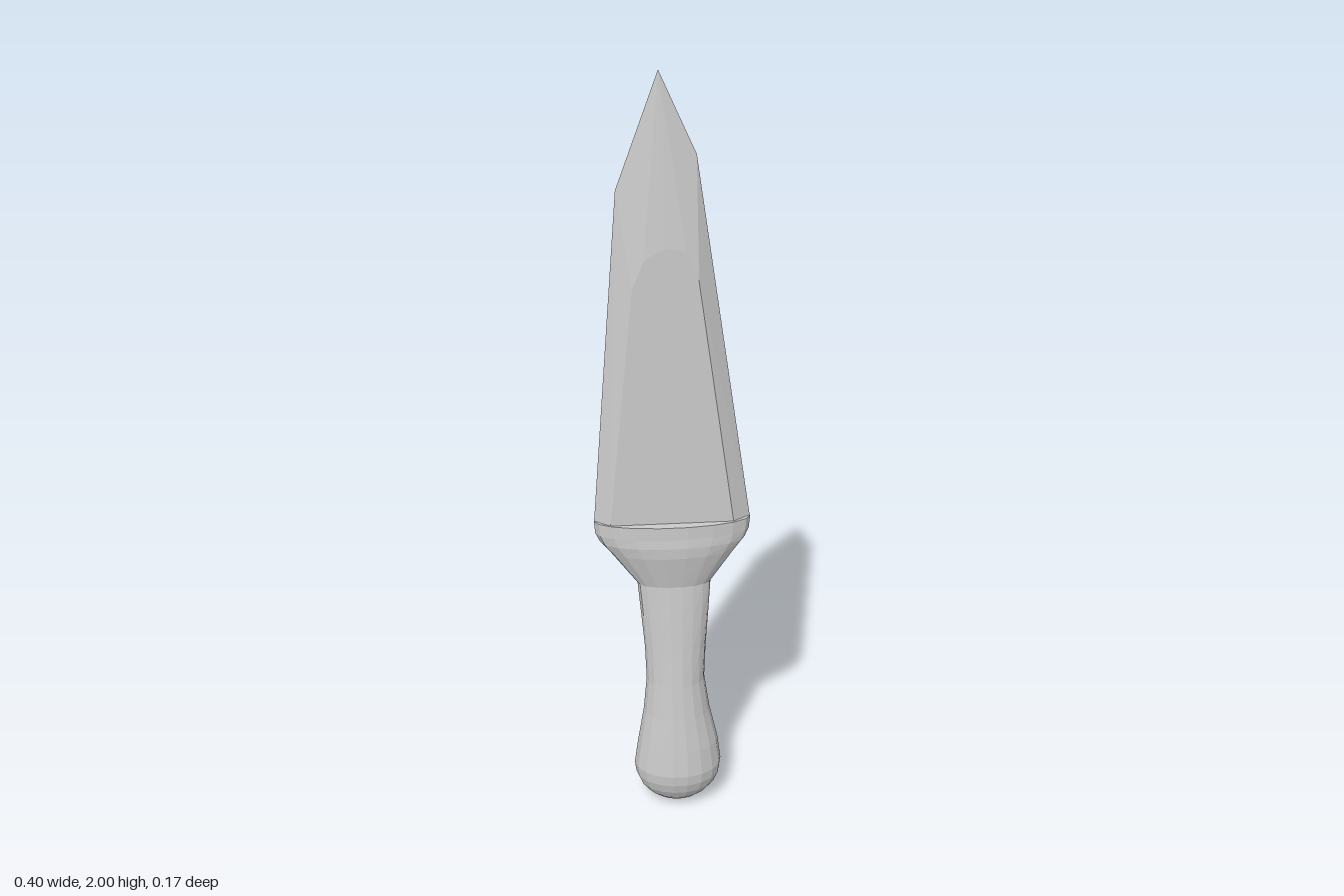
import * as THREE from 'three';
import { ConvexGeometry } from 'three/addons/geometries/ConvexGeometry.js';

const SIDES = 18;

// Skins elliptical rings [y, left x, right x, half depth], ordered bottom to top, with capped ends
function loft(rings) {
  const pos = [], index = [];
  for (const [y, x0, x1, d] of rings) {
    for (let i = 0; i < SIDES; i++) {
      const a = (i / SIDES) * Math.PI * 2;
      pos.push((x0 + x1) / 2 + ((x1 - x0) / 2) * Math.cos(a), y, d * Math.sin(a));
    }
  }
  for (let r = 0; r < rings.length - 1; r++) {
    for (let i = 0; i < SIDES; i++) {
      const j = (i + 1) % SIDES;
      const a = r * SIDES + i, b = r * SIDES + j;
      index.push(a, a + SIDES, b, b, a + SIDES, b + SIDES);
    }
  }
  const top = (rings.length - 1) * SIDES;
  for (let i = 1; i < SIDES - 1; i++) {
    index.push(0, i, i + 1);
    index.push(top, top + i + 1, top + i);
  }
  const geo = new THREE.BufferGeometry();
  geo.setAttribute('position', new THREE.Float32BufferAttribute(pos, 3));
  geo.setIndex(index);
  const flat = geo.toNonIndexed();
  flat.computeVertexNormals();
  return flat;
}

export function createModel() {
  const group = new THREE.Group();
  const material = new THREE.MeshStandardMaterial({ color: 0xcccccc, flatShading: true });
  const add = (name, geometry) => {
    const mesh = new THREE.Mesh(geometry, material);
    mesh.name = name;
    group.add(mesh);
  };

  // Blade: sharp outline in the middle plane, flat panel on each face
  const edge = [[-0.2, 0.87], [-0.132, 1.73], [-0.032, 2], [0.056, 1.81], [0.2, 0.87]];
  const panel = [[-0.16, 0.87], [-0.098, 1.5], [-0.07, 1.57], [-0.02, 1.6], [0.03, 1.59], [0.06, 1.52], [0.155, 0.87]];
  const points = edge.map(([x, y]) => new THREE.Vector3(x, y, 0));
  for (const z of [-0.031, 0.031]) {
    for (const [x, y] of panel) points.push(new THREE.Vector3(x, y, z));
  }
  add('blade', new ConvexGeometry(points));

  // Guard: wide, thin flare below the blade
  add('guard', loft([
    [0.695, -0.09, 0.1, 0.038],
    [0.79, -0.16, 0.165, 0.057],
    [0.82, -0.185, 0.187, 0.059],
    [0.845, -0.197, 0.197, 0.057],
    [0.88, -0.2, 0.2, 0.057],
  ]));

  // Handle: rounded pommel, waisted grip
  const handle = [];
  for (let i = 0; i <= 6; i++) {
    const a = (Math.max(i, 0.3) / 6) * Math.PI / 2;
    const s = Math.sin(a);
    handle.push([0.125 - 0.12 * Math.cos(a), 0.015 - 0.119 * s, 0.015 + 0.119 * s, 0.085 * s]);
  }
  handle[0][0] = 0;
  handle.push(
    [0.2, -0.094, 0.124, 0.079],
    [0.3, -0.078, 0.101, 0.069],
    [0.4, -0.069, 0.086, 0.06],
    [0.5, -0.073, 0.089, 0.052],
    [0.6, -0.082, 0.095, 0.045],
    [0.7, -0.091, 0.1, 0.038],
  );
  add('handle', loft(handle));

  return group;
}
